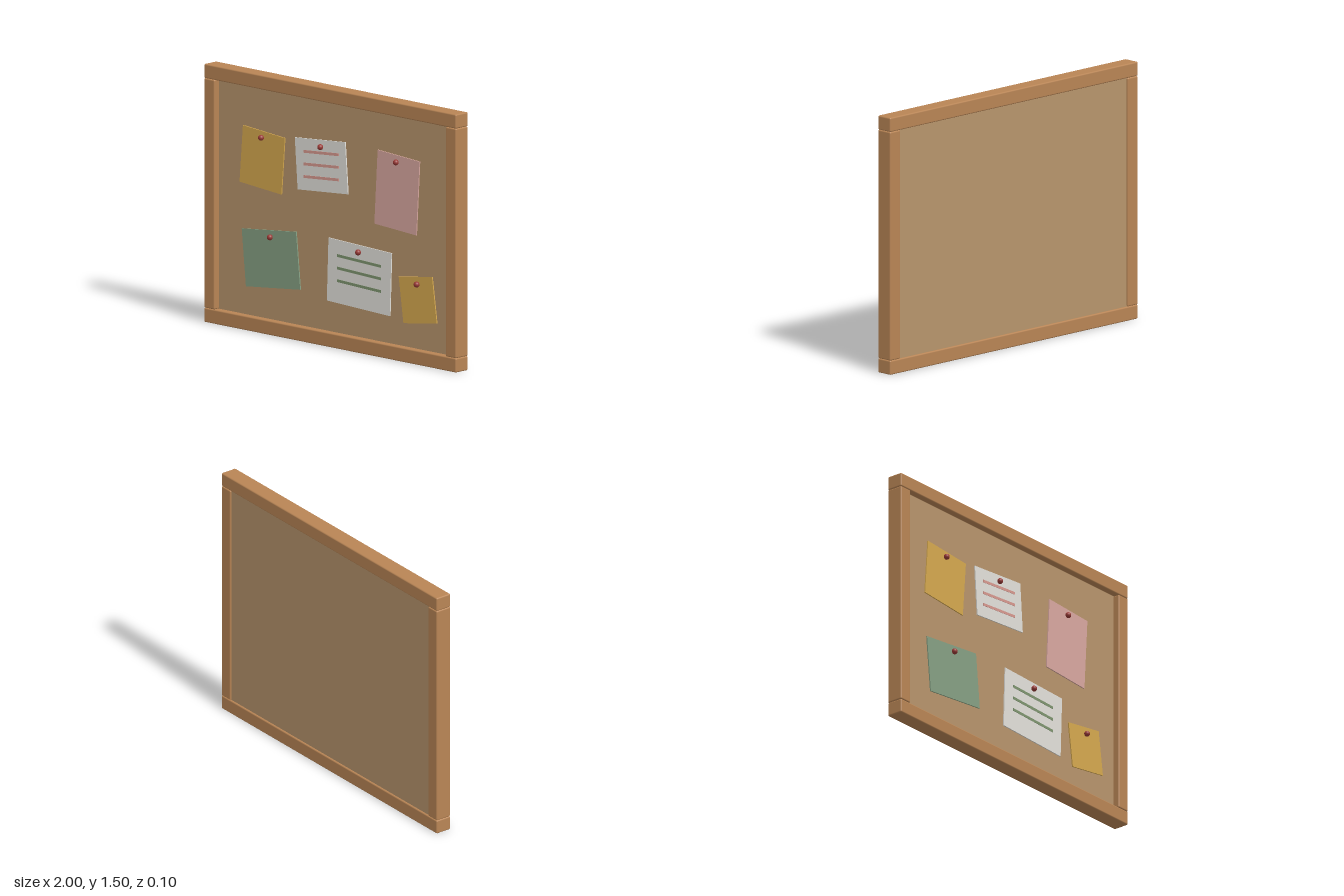
import * as THREE from 'three';
import { RoundedBoxGeometry } from 'three/addons/geometries/RoundedBoxGeometry.js';

const mat = (color) => new THREE.MeshStandardMaterial({ color });
const wood = mat(0xb98555), cork = mat(0xb8956c), pinRed = mat(0x9a3a36);
const yellow = mat(0xd6a94f), white = mat(0xe4e2dc), pink = mat(0xd9a8a0), green = mat(0x86a184);
const pinkInk = mat(0xd99a90), greenInk = mat(0x7f9670);

const FRONT = 0.01; // front face of the cork

function add(parent, name, geometry, material, x, y, z) {
  const mesh = new THREE.Mesh(geometry, material);
  mesh.name = name;
  mesh.position.set(x, y, z);
  parent.add(mesh);
  return mesh;
}

// Notes: centre, size, tilt, pin height, optional ink and width of the written lines
const notes = [
  { name: 'yellowNote', m: yellow, x: -0.57, y: 1.0, w: 0.333, h: 0.333, tilt: -0.08, pin: 1.13 },
  { name: 'writtenCard', m: white, x: -0.1, y: 1.035, w: 0.4, h: 0.3, tilt: 0.075, pin: 1.145, ink: pinkInk, line: 0.28 },
  { name: 'pinkNote', m: pink, x: 0.5, y: 0.968, w: 0.333, h: 0.433, tilt: -0.06, pin: 1.145 },
  { name: 'greenNote', m: green, x: -0.5, y: 0.434, w: 0.433, h: 0.333, tilt: 0.1, pin: 0.562 },
  { name: 'writtenSheet', m: white, x: 0.2, y: 0.434, w: 0.5, h: 0.367, tilt: -0.035, pin: 0.578, ink: greenInk, line: 0.35 },
  { name: 'smallYellowNote', m: yellow, x: 0.665, y: 0.368, w: 0.267, h: 0.267, tilt: 0.14, pin: 0.46 },
];

export function createModel() {
  const group = new THREE.Group();
  group.name = 'pinboard';

  // Cork panel, set deep behind the frame's front
  add(group, 'corkPanel', new THREE.BoxGeometry(1.86, 1.36, 0.05), cork, 0, 0.75, FRONT - 0.025);

  // Wooden frame with softened edges
  const rail = new RoundedBoxGeometry(2, 0.083, 0.1, 2, 0.008);
  const post = new RoundedBoxGeometry(0.083, 1.334, 0.1, 2, 0.008);
  add(group, 'bottomRail', rail, wood, 0, 0.0415, 0);
  add(group, 'topRail', rail, wood, 0, 1.4585, 0);
  add(group, 'leftPost', post, wood, 0.9585, 0.75, 0);
  add(group, 'rightPost', post, wood, -0.9585, 0.75, 0);

  // Pinned papers
  const pinHead = new THREE.SphereGeometry(0.017, 20, 14);
  for (const n of notes) {
    const note = new THREE.Group();
    note.name = n.name;
    note.position.set(n.x, n.y, FRONT);
    group.add(note);

    const paper = add(note, 'paper', new THREE.BoxGeometry(n.w, n.h, 0.007), n.m, 0, 0, 0.0035);
    paper.rotation.z = n.tilt;

    // Three written lines, tilted with the paper
    if (n.ink) {
      for (let i = 0; i < 3; i++) {
        const line = add(note, 'writtenLine', new THREE.BoxGeometry(n.line, 0.016, 0.004), n.ink,
          0, n.pin - n.y - 0.036 - (i + 0.2) * 0.073 + (n.line > 0.3 ? 0 : 0.015), 0.007);
        line.rotation.z = n.tilt;
      }
    }
    add(note, 'pin', pinHead, pinRed, 0, n.pin - n.y, 0.016);
  }
  return group;
}
